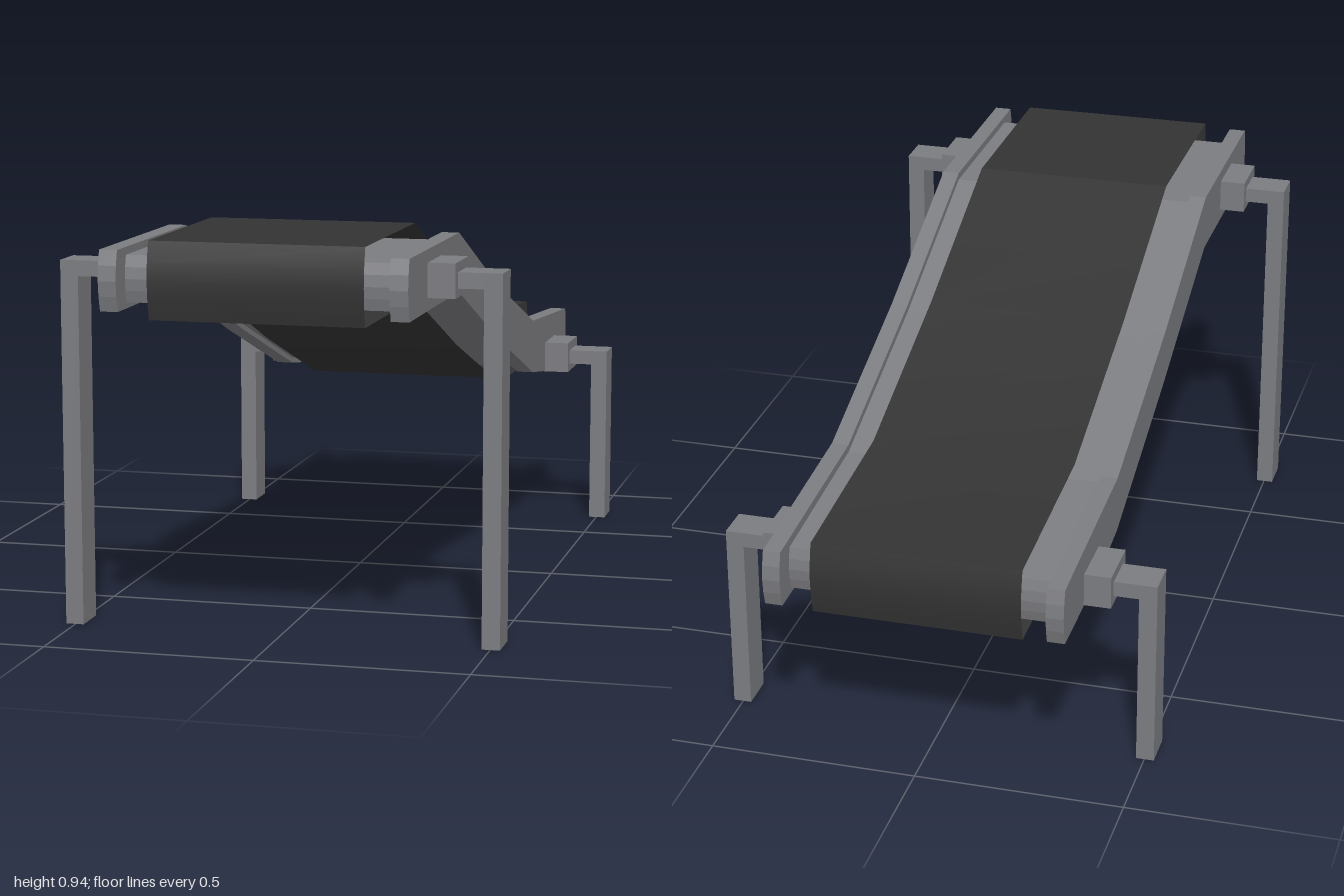
import * as THREE from 'three';
import { toCreasedNormals } from 'three/addons/utils/BufferGeometryUtils.js';

const steel = new THREE.MeshStandardMaterial({ color: 0x7b7c80 });
steel.name = 'steel grey';
const rubber = new THREE.MeshStandardMaterial({ color: 0x333333, side: THREE.DoubleSide });
rubber.name = 'dark rubber';

// Side outline [z, y] of the sloping bed: top edge back to front, bulged end,
// bottom edge front to back, bulged end.
function bedOutline(end, bulge, up, down) {
  const top = [[-end, 0.54], [-0.49, 0.575], [0, 0.735], [0.47, 0.92], [end, 0.92]]
    .map(([z, y]) => [z, y + up]);
  const bottom = [[end, 0.78], [0.47, 0.78], [0, 0.6], [-0.49, 0.435], [-0.68, 0.408], [-end, 0.402]]
    .map(([z, y]) => [z, y - down]);
  const cap = (a, b, side) => [0.25, 0.5, 0.75].map((t) => [
    a[0] + side * bulge * Math.sin(Math.PI * t),
    a[1] + (b[1] - a[1]) * t,
  ]);
  return [
    ...top, ...cap(top[4], bottom[0], 1),
    ...bottom, ...cap(bottom[5], top[0], -1),
  ];
}

// Solid slab with the given side outline, centred on x
function slab(name, outline, width, x) {
  const shape = new THREE.Shape(outline.map(([z, y]) => new THREE.Vector2(z, y)));
  const geo = new THREE.ExtrudeGeometry(shape, { depth: width, bevelEnabled: false });
  geo.rotateY(-Math.PI / 2).translate(x + width / 2, 0, 0);
  const mesh = new THREE.Mesh(geo, steel);
  mesh.name = name;
  return mesh;
}

// Thin open-sided loop following the outline
function beltLoop(outline, width) {
  const n = outline.length;
  const geo = new THREE.PlaneGeometry(width, 1, 1, n);
  const pos = geo.attributes.position;
  for (let i = 0; i <= n; i++) {
    const [z, y] = outline[i % n];
    for (let j = 0; j < 2; j++) pos.setXYZ(i * 2 + j, (j - 0.5) * width, y, z);
  }
  const mesh = new THREE.Mesh(toCreasedNormals(geo, 0.3), rubber);
  mesh.name = 'belt';
  return mesh;
}

function box(name, x0, x1, y0, y1, depth) {
  const mesh = new THREE.Mesh(new THREE.BoxGeometry(x1 - x0, y1 - y0, depth), steel);
  mesh.position.set((x0 + x1) / 2, (y0 + y1) / 2, 0);
  mesh.name = name;
  return mesh;
}

// Leg with its arm and mounting block, at +x
function legAssembly(height) {
  const g = new THREE.Group();
  g.add(
    box('mountingBlock', 0.35, 0.42, height - 0.057, height + 0.023, 0.14),
    box('arm', 0.42, 0.48, height - 0.037, height, 0.09),
    box('leg', 0.48, 0.523, 0, height, 0.09),
  );
  return g;
}

export function createModel() {
  const model = new THREE.Group();
  model.name = 'conveyor';

  model.add(slab('innerBed', bedOutline(0.925, 0.01, -0.018, -0.014), 0.63, 0));
  model.add(beltLoop(bedOutline(0.96, 0.014, 0.02, 0.02), 0.5));

  const rail = bedOutline(0.987, 0.013, 0, 0);
  for (const side of [1, -1]) {
    const s = side > 0 ? 'left' : 'right';
    model.add(slab(s + 'Rail', rail, 0.042, side * 0.335));
    for (const [place, z, height] of [['Front', 0.737, 0.867], ['Back', -0.745, 0.465]]) {
      const leg = legAssembly(height);
      leg.name = s + place + 'Leg';
      leg.position.z = z;
      if (side < 0) leg.children.forEach((m) => { m.position.x *= -1; });
      model.add(leg);
    }
  }
  return model;
}
